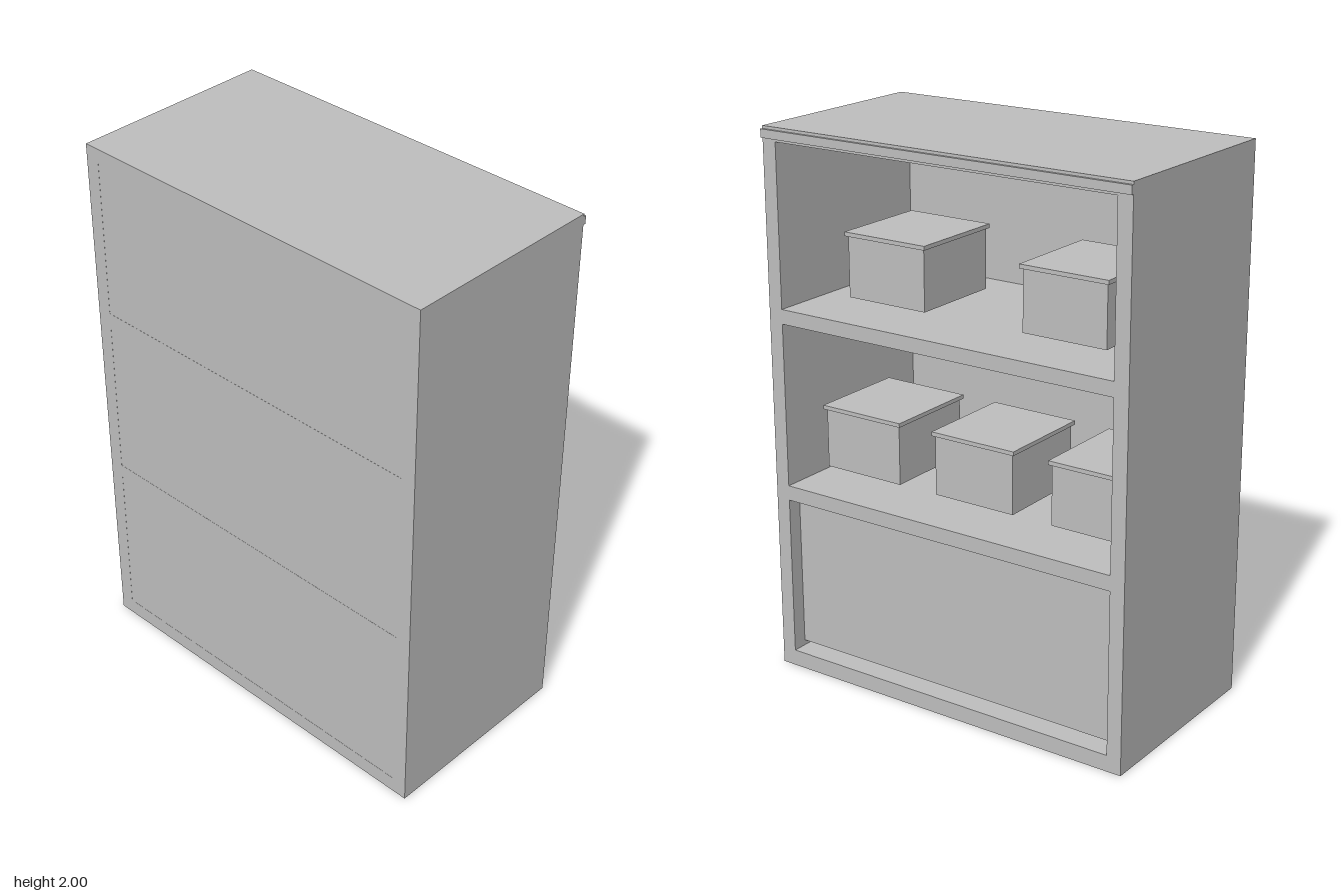
import * as THREE from 'three';

export function createModel() {
  const model = new THREE.Group();
  model.name = 'storageCabinet';
  const grey = new THREE.MeshStandardMaterial({ color: 0xbfbfbf });
  grey.name = 'plainGrey';

  // Box given by its lower and upper limits on each axis
  function block(name, [x0, x1], [y0, y1], [z0, z1], parent = model) {
    const mesh = new THREE.Mesh(new THREE.BoxGeometry(x1 - x0, y1 - y0, z1 - z0), grey);
    mesh.position.set((x0 + x1) / 2, (y0 + y1) / 2, (z0 + z1) / 2);
    mesh.name = name;
    parent.add(mesh);
  }

  // Carcass: one outline with three openings, extruded through the depth
  const back = -0.385, front = 0.375, backThickness = 0.025;
  const rect = (Type, w, y0, y1) => new Type([
    new THREE.Vector2(-w, y0), new THREE.Vector2(w, y0),
    new THREE.Vector2(w, y1), new THREE.Vector2(-w, y1),
  ]);
  const outline = rect(THREE.Shape, 0.73, 0, 2);
  for (const [y0, y1] of [[0.06, 0.655], [0.71, 1.312], [1.365, 1.95]]) {
    outline.holes.push(rect(THREE.Path, 0.675, y0, y1));
  }
  const carcass = new THREE.Mesh(
    new THREE.ExtrudeGeometry(outline, { depth: front - back, bevelEnabled: false }), grey);
  carcass.name = 'carcass';
  carcass.rotation.y = Math.PI / 2;
  carcass.position.x = back;
  model.add(carcass);

  // Back wall closes the openings
  block('backWall', [back, back + backThickness], [0.03, 1.97], [-0.70, 0.70]);
  model.children.at(-1).position.x += 0.0005;

  // Trim along the top edge and the recessed lower panel
  block('topTrim', [0.37, 0.385], [1.96, 1.99], [-0.73, 0.73]);
  block('lowerPanel', [0.30, 0.32], [0.08, 0.64], [-0.675, 0.675]);

  // Lidded storage boxes
  function storageBox(y, z) {
    const box = new THREE.Group();
    box.name = 'storageBox';
    box.position.set(0, y, z);
    block('boxBody', [-0.18, 0.18], [0, 0.22], [-0.163, 0.163], box);
    block('boxLid', [-0.19, 0.19], [0.22, 0.235], [-0.172, 0.172], box);
    model.add(box);
  }
  for (const z of [-0.363, 0.367]) storageBox(1.387, z);
  for (const z of [-0.483, 0.002, 0.487]) storageBox(0.73, z);

  return model;
}
